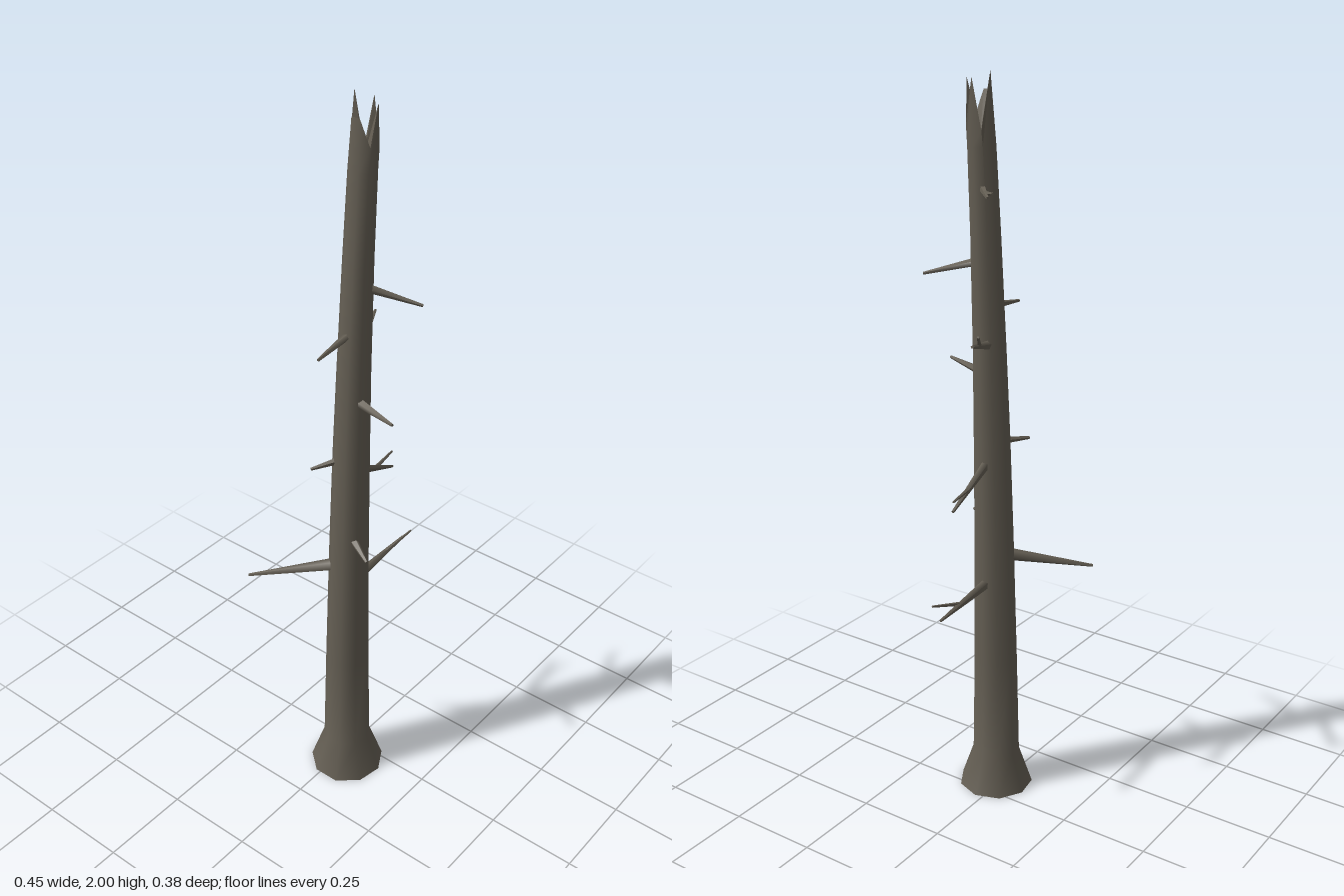
import * as THREE from 'three';
import { toCreasedNormals } from 'three/addons/utils/BufferGeometryUtils.js';

const SIDES = 9;
const bark = new THREE.MeshStandardMaterial({ color: 0x655f54, side: THREE.DoubleSide });

// Trunk rings: height, centre x, radius
const RINGS = [
  [0, -0.063, 0.104], [0.11, -0.063, 0.066], [0.4, -0.06, 0.06], [0.75, -0.052, 0.054],
  [1.05, -0.042, 0.049], [1.3, -0.031, 0.044], [1.6, -0.014, 0.039], [1.82, 0.002, 0.036],
];
const AXIS_Z = 0.022;
// Heights of the splintered rim, one per side
const RIM = [1.985, 1.87, 1.98, 1.88, 1.95, 1.95, 1.87, 2.0, 1.86];

function createTrunk() {
  const pos = [], index = [];
  const ring = (cx, r, heightAt) => {
    for (let i = 0; i < SIDES; i++) {
      const a = (i / SIDES) * Math.PI * 2;
      pos.push(cx + r * Math.cos(a), heightAt(i), AXIS_Z + r * Math.sin(a));
    }
  };
  for (const [y, cx, r] of RINGS) ring(cx, r, () => y);
  ring(0.008, 0.035, (i) => RIM[i]);

  const last = RINGS.length * SIDES;
  const bottom = pos.length / 3, top = bottom + 1;
  pos.push(-0.063, 0, AXIS_Z, 0.006, 1.85, AXIS_Z);

  for (let i = 0; i < SIDES; i++) {
    const j = (i + 1) % SIDES;
    for (let k = 0; k < last; k += SIDES) {
      const a = k + i, b = k + j, c = a + SIDES, d = b + SIDES;
      index.push(a, c, b, b, c, d);
    }
    index.push(bottom, i, j, top, last + j, last + i);
  }
  const geo = new THREE.BufferGeometry();
  geo.setAttribute('position', new THREE.Float32BufferAttribute(pos, 3));
  geo.setIndex(index);
  const mesh = new THREE.Mesh(toCreasedNormals(geo, 0.85), bark);
  mesh.name = 'trunk';
  return mesh;
}

// Tapered stick between two points
function stick(name, from, to, r0, r1) {
  const a = new THREE.Vector3(...from), b = new THREE.Vector3(...to);
  const dir = b.clone().sub(a);
  const geo = new THREE.CylinderGeometry(r1, r0, dir.length(), 5);
  const mesh = new THREE.Mesh(toCreasedNormals(geo, 1.3), bark);
  mesh.position.copy(a).add(b).multiplyScalar(0.5);
  mesh.quaternion.setFromUnitVectors(new THREE.Vector3(0, 1, 0), dir.normalize());
  mesh.name = name;
  return mesh;
}

// Broken branches: root, tip, root radius, optional fork start and fork tip
const BRANCHES = [
  { from: [-0.02, 0.645, 0.022], to: [0.22, 0.635, 0.001], r: 0.015, fork: [[0.12, 0.64, 0.01], [0.22, 0.668, 0.027]] },
  { from: [-0.02, 1.0, 0.018], to: [0.153, 0.915, 0.008], r: 0.014, fork: [[0.075, 0.953, 0.012], [0.168, 0.95, -0.005]] },
  { from: [-0.01, 1.318, 0.01], to: [0.16, 1.365, -0.06], r: 0.013, fork: [[0.09, 1.346, -0.032], [0.153, 1.39, -0.073]] },
  { from: [0.015, 1.72, 0.01], to: [0.078, 1.711, -0.049], r: 0.01, fork: [[0.05, 1.716, -0.022], [0.075, 1.722, -0.06]] },
  { from: [-0.01, 1.53, 0.04], to: [0.054, 1.495, 0.166], r: 0.012 },
  { from: [-0.05, 1.411, 0.022], to: [-0.173, 1.397, 0.027], r: 0.011 },
  { from: [-0.045, 1.228, 0.045], to: [-0.09, 1.237, 0.188], r: 0.013 },
  { from: [-0.07, 1.046, 0], to: [-0.136, 1.04, -0.034], r: 0.01 },
  { from: [-0.07, 0.818, 0.05], to: [-0.113, 0.805, 0.13], r: 0.012 },
  { from: [-0.08, 0.714, -0.005], to: [-0.222, 0.674, -0.19], r: 0.018 },
];

export function createModel() {
  const model = new THREE.Group();
  model.name = 'deadTree';
  model.add(createTrunk());
  for (const { from, to, r, fork } of BRANCHES) {
    const branch = new THREE.Group();
    branch.name = 'branch';
    branch.add(stick('branchStem', from, to, r, 0.004));
    if (fork) branch.add(stick('branchFork', fork[0], fork[1], 0.006, 0.003));
    model.add(branch);
  }
  return model;
}
